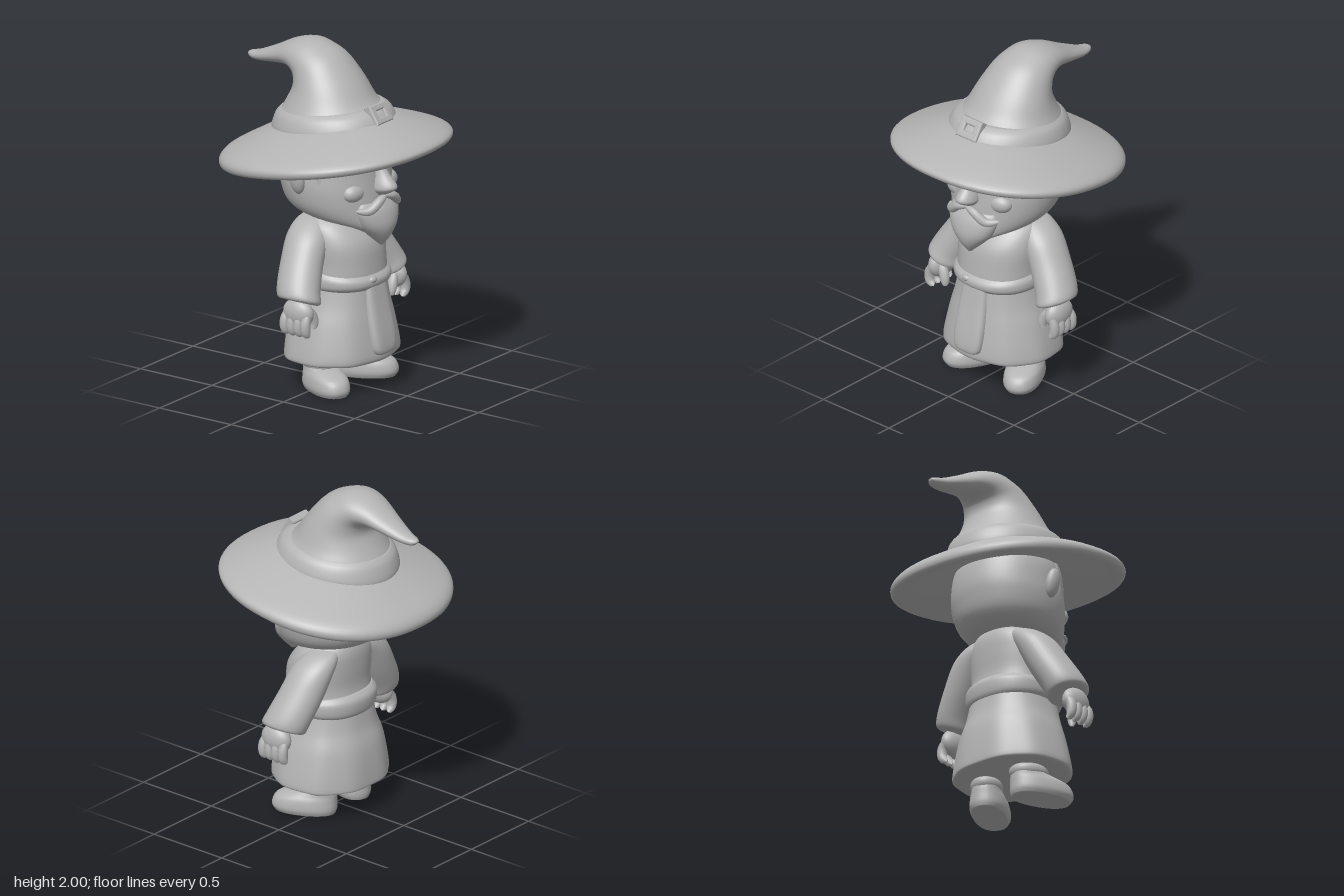
import * as THREE from 'three';

const clay = new THREE.MeshStandardMaterial({ color: 0xb4b4b4 });
clay.name = 'clay grey';

function part(parent, name, geometry) {
  const mesh = new THREE.Mesh(geometry, clay);
  mesh.name = name;
  parent.add(mesh);
  return mesh;
}

// Closed skin through rings listed bottom to top.
// ring: [front z, front y, back z, back y, half width, centre x, side lift]
function loft(rings, { pow = 2, seg = 48, steps = 4, fold = 0 } = {}) {
  const full = rings.map(r => Array.from({ length: 7 }, (_, k) => r[k] ?? 0));
  const at = i => full[Math.min(Math.max(i, 0), full.length - 1)];
  const smooth = [];
  for (let i = 0; i < full.length - 1; i++) {
    for (let s = 0; s < steps; s++) {
      const t = s / steps;
      smooth.push(at(i).map((p, k) => {
        const m0 = (at(i + 1)[k] - at(i - 1)[k]) / 2, m1 = (at(i + 2)[k] - p) / 2;
        const d = at(i + 1)[k] - p;
        return p + m0 * t + (3 * d - 2 * m0 - m1) * t * t + (m0 + m1 - 2 * d) * t * t * t;
      }));
    }
  }
  smooth.push(at(full.length - 1));
  const shrink = (r, f) => {
    const z = (r[0] + r[2]) / 2, y = (r[1] + r[3]) / 2;
    return [z + (r[0] - z) * f, y + (r[1] - y) * f, z + (r[2] - z) * f, y + (r[3] - y) * f, r[4] * f, r[5], r[6] * f];
  };
  const first = smooth[0], last = smooth[smooth.length - 1];
  const all = [shrink(first, 0.001), shrink(first, 0.96), ...smooth, shrink(last, 0.96), shrink(last, 0.001)];
  const pos = [], index = [];
  all.forEach((r, i) => {
    const wave = fold * (1 - i / all.length);
    for (let j = 0; j < seg; j++) {
      const a = j / seg * Math.PI * 2;
      const bend = v => Math.sign(v) * Math.abs(v) ** (2 / pow) * (1 + wave * Math.cos(9 * a));
      const s = bend(Math.sin(a)), c = bend(Math.cos(a));
      pos.push(r[5] + r[4] * s,
        (r[1] + r[3]) / 2 + (r[1] - r[3]) / 2 * c + r[6] * s,
        (r[0] + r[2]) / 2 + (r[0] - r[2]) / 2 * c);
      if (i < all.length - 1) {
        const k = (j + 1) % seg, p = i * seg, q = p + seg;
        index.push(p + j, p + k, q + k, p + j, q + k, q + j);
      }
    }
  });
  const g = new THREE.BufferGeometry();
  g.setAttribute('position', new THREE.Float32BufferAttribute(pos, 3));
  g.setIndex(index);
  g.computeVertexNormals();
  return g;
}

// Rounded strand that closes at both ends
function strand(points, radius, blunt = 0.5) {
  const path = new THREE.CatmullRomCurve3(points.map(p => new THREE.Vector3(...p)));
  const n = 20, sides = 12;
  const g = new THREE.TubeGeometry(path, n, radius, sides);
  const p = g.attributes.position, v = new THREE.Vector3();
  for (let i = 0; i <= n; i++) {
    const c = path.getPointAt(i / n);
    const f = Math.max(0, Math.sin(Math.PI * i / n)) ** blunt;
    for (let j = 0; j <= sides; j++) {
      const k = i * (sides + 1) + j;
      v.fromBufferAttribute(p, k).sub(c).multiplyScalar(f).add(c);
      p.setXYZ(k, v.x, v.y, v.z);
    }
  }
  return g;
}

function blob(parent, name, position, scale) {
  const m = part(parent, name, new THREE.SphereGeometry(1, 24, 16));
  m.position.set(...position);
  m.scale.set(...scale);
  return m;
}

function makeHat() {
  const hat = new THREE.Group();
  hat.name = 'hat';
  part(hat, 'brim', loft([
    [.3, 1.475, -.3, 1.41, .3], [.46, 1.455, -.45, 1.325, .46], [.6, 1.447, -.6, 1.262, .61],
    [.637, 1.478, -.635, 1.295, .648], [.61, 1.51, -.605, 1.35, .622],
    [.5, 1.555, -.5, 1.415, .5], [.33, 1.605, -.35, 1.5, .32],
  ], { pow: 2.22, seg: 72 }));
  // Crown leans back into a drooping tip
  part(hat, 'crown', loft([
    [.355, 1.54, -.375, 1.44, .33], [.29, 1.63, -.335, 1.57, .295], [.22, 1.69, -.285, 1.66, .258],
    [.14, 1.8, -.25, 1.735, .222, .005], [.03, 1.92, -.255, 1.785, .188, .01],
    [-.07, 1.975, -.28, 1.81, .165, .012], [-.17, 2, -.315, 1.817, .145, .016],
    [-.29, 1.975, -.355, 1.813, .12, .022], [-.42, 1.91, -.425, 1.803, .09, .03],
    [-.55, 1.85, -.53, 1.787, .056, .038], [-.615, 1.832, -.603, 1.785, .034, .04],
    [-.638, 1.818, -.634, 1.805, .012, .04],
  ]));
  part(hat, 'hatBand', loft([
    [.35, 1.56, -.37, 1.46, .325], [.352, 1.59, -.376, 1.5, .334], [.315, 1.645, -.352, 1.575, .31],
    [.27, 1.67, -.32, 1.61, .275],
  ]));
  const frame = new THREE.Shape([[-.066, -.05], [.066, -.05], [.066, .05], [-.066, .05]].map(p => new THREE.Vector2(...p)));
  frame.holes.push(new THREE.Path([[-.042, -.03], [-.042, .03], [.042, .03], [.042, -.03]].map(p => new THREE.Vector2(...p))));
  const buckle = part(hat, 'buckle', new THREE.ExtrudeGeometry(frame,
    { depth: .03, bevelSize: .01, bevelThickness: .01, bevelSegments: 3 }));
  buckle.position.set(-.006, 1.632, .292);
  buckle.rotation.x = -.55;
  return hat;
}

function makeHead() {
  const head = new THREE.Group();
  head.name = 'head';
  part(head, 'skull', loft([
    [.32, .91, .15, .99, .06], [.345, .96, .0, 1.03, .15], [.34, 1.02, -.18, 1.04, .24],
    [.33, 1.1, -.275, 1.1, .295], [.32, 1.2, -.312, 1.21, .318], [.31, 1.3, -.32, 1.3, .315],
    [.305, 1.4, -.305, 1.4, .305], [.29, 1.5, -.28, 1.46, .28],
  ], { pow: 2.06 }));
  part(head, 'beard', loft([
    [.33, .868, .305, .87, .01], [.372, .93, .22, .95, .085], [.388, 1, .2, 1, .14],
    [.37, 1.08, .2, 1.08, .17], [.335, 1.135, .2, 1.135, .16],
  ]));
  part(head, 'nose', loft([
    [.35, 1.17, .27, 1.17, .03], [.412, 1.205, .25, 1.2, .058], [.418, 1.235, .24, 1.235, .056],
    [.37, 1.29, .23, 1.29, .042], [.325, 1.35, .22, 1.35, .045], [.3, 1.42, .2, 1.42, .07],
  ], { seg: 32 }));
  for (const s of [-1, 1]) {
    blob(head, 'cheek', [s * .15, 1.2, .235], [.085, .06, .06]);
    part(head, 'moustache', strand([[s * -.01, 1.165, .345], [s * .06, 1.15, .355], [s * .13, 1.1, .33], [s * .185, 1.1, .275]], .028));
    part(head, 'eyebrow', strand([[s * .085, 1.378, .295], [s * .14, 1.388, .28], [s * .2, 1.375, .24]], .022));
    part(head, 'sideburn', strand([[s * .262, 1.5, .09], [s * .275, 1.32, .09], [s * .27, 1.15, .1]], .032));
    const ear = blob(head, 'ear', [s * .345, 1.275, -.018], [.034, .086, .046]);
    ear.rotation.z = -s * .2;
  }
  return head;
}

function makeRobe() {
  const robe = new THREE.Group();
  robe.name = 'robe';
  part(robe, 'torso', loft([
    [.29, .62, -.185, .64, .25], [.28, .74, -.16, .76, .245], [.26, .87, -.165, .88, .25],
    [.19, .97, -.165, .97, .235], [.12, 1.02, -.15, 1.03, .18], [.06, 1.05, -.12, 1.06, .12],
  ], { pow: 2.25 }));
  part(robe, 'skirt', loft([
    [.29, .185, -.2, .18, .29], [.33, .185, -.25, .175, .335], [.343, .23, -.26, .21, .346],
    [.32, .4, -.24, .4, .307], [.3, .52, -.205, .52, .267], [.285, .64, -.185, .64, .24],
  ], { pow: 2.2, seg: 90, fold: .015 }));
  part(robe, 'belt', loft([
    [.285, .605, -.185, .6, .24], [.308, .63, -.202, .63, .262], [.308, .665, -.205, .7, .264],
    [.28, .695, -.175, .735, .242],
  ], { pow: 2.25 }));
  part(robe, 'frontPanel', loft([
    [.355, .225, .25, .225, .05], [.372, .25, .25, .25, .09], [.362, .34, .25, .34, .102],
    [.328, .5, .2, .5, .098], [.3, .64, .2, .64, .085],
  ], { pow: 4 }));
  blob(robe, 'beltKnot', [-.05, .665, .295], [.03, .02, .02]);
  return robe;
}

function makeArm(s) {
  const arm = new THREE.Group();
  arm.name = s > 0 ? 'leftArm' : 'rightArm';
  part(arm, 'sleeve', loft([
    [.155, .58, -.07, .58, .09, s * .41, s * .034], [.175, .6, -.09, .59, .107, s * .408, s * .042],
    [.155, .66, -.11, .65, .104, s * .385, s * .045], [.122, .78, -.135, .77, .1, s * .315, s * .045],
    [.1, .9, -.15, .9, .1, s * .24, s * .03], [.06, .98, -.14, .98, .085, s * .17, s * .015],
    [.02, 1.02, -.11, 1.02, .05, s * .13],
  ], { seg: 32 }));
  blob(arm, 'palm', [s * .445, .53, .065], [.056, .085, .1]);
  for (let i = 0; i < 4; i++) {
    const z = -.008 + i * .048;
    part(arm, 'finger', strand([[s * .45, .54, z], [s * .475, .48, z], [s * .472, .43, z], [s * .445, .4, z]], .03, .35));
  }
  part(arm, 'thumb', strand([[s * .43, .56, .1], [s * .388, .51, .115], [s * .372, .46, .12], [s * .375, .42, .115]], .03, .4));
  return arm;
}

function makeLeg(s) {
  const leg = new THREE.Group();
  leg.name = s > 0 ? 'leftLeg' : 'rightLeg';
  part(leg, 'boot', loft([
    [.25, 0, -.1, 0, .095], [.268, .035, -.108, .03, .108], [.245, .09, -.108, .08, .103],
    [.17, .122, -.108, .11, .09], [.1, .14, -.105, .14, .083],
  ], { pow: 2.3, seg: 36 }));
  part(leg, 'bootCuff', loft([
    [.1, .12, -.105, .12, .08], [.114, .14, -.115, .14, .09], [.114, .165, -.115, .165, .09], [.1, .18, -.1, .18, .08],
  ], { seg: 32 }));
  part(leg, 'trouserLeg', loft([[.095, .14, -.1, .14, .08], [.095, .28, -.1, .28, .085]], { seg: 32 }));
  leg.position.x = s * .155;
  leg.rotation.y = s * .45;
  return leg;
}

export function createModel() {
  const model = new THREE.Group();
  model.name = 'wizard';
  model.add(makeHat(), makeHead(), makeRobe());
  for (const s of [-1, 1]) model.add(makeArm(s), makeLeg(s));
  return model;
}
